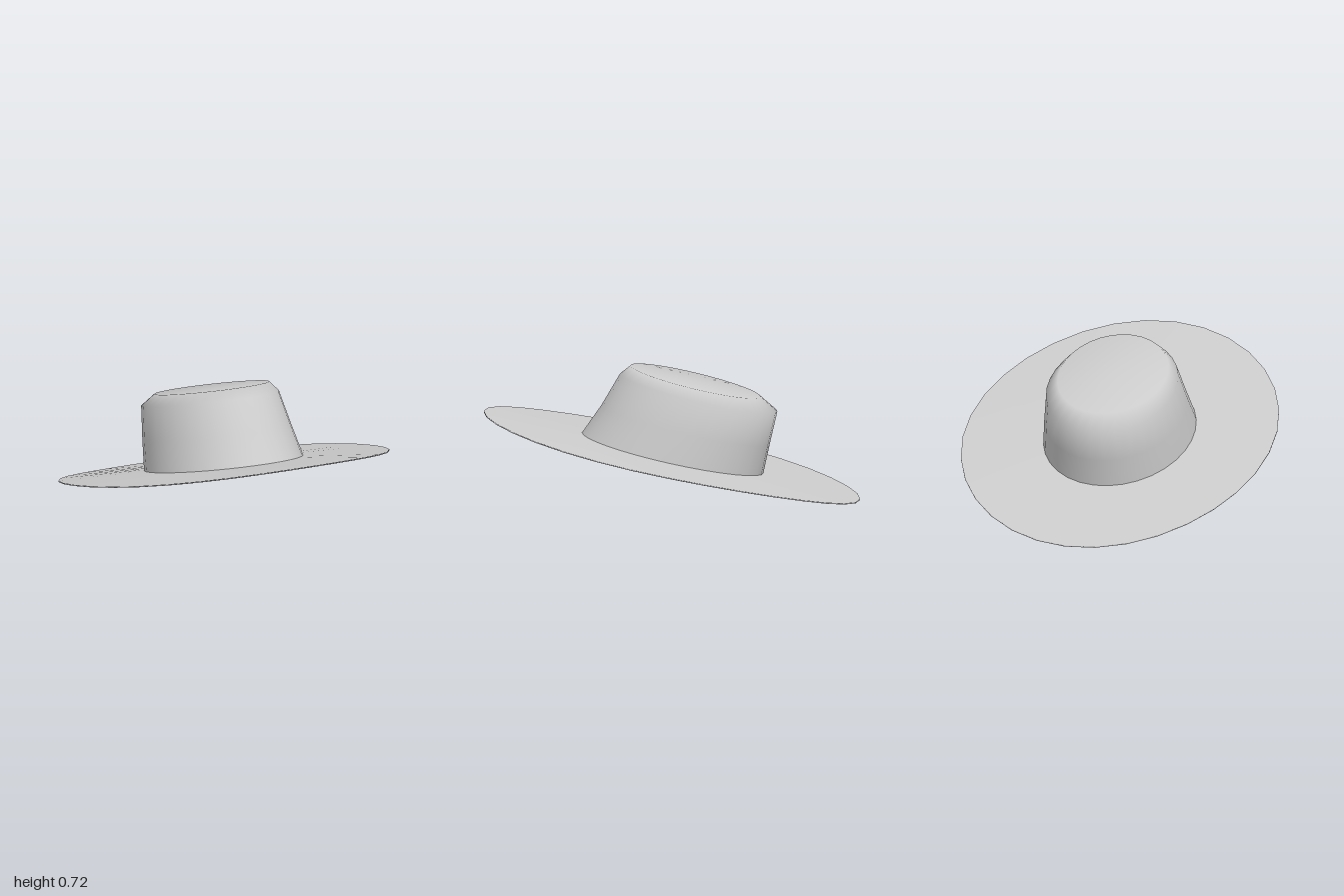
import * as THREE from 'three';

const SEGMENTS = 32;

// Smooth skin over tilted elliptical rings, listed from the bottom up.
// Ring: rx, rz = radii, y, z = centre, tilt = rise per unit of z, wave = gentle ripple.
function loft(name, rings, material) {
  const positions = [];
  const indices = [];
  rings.forEach(({ rx, rz, y, z = 0, tilt = 0, wave = 0 }, j) => {
    for (let i = 0; i < SEGMENTS; i++) {
      const angle = (i / SEGMENTS) * Math.PI * 2;
      const c = Math.cos(angle);
      const s = Math.sin(angle);
      positions.push(rx * c, y + tilt * rz * s - wave * s * c * c, z + rz * s);
      if (j === rings.length - 1) continue;
      const next = (i + 1) % SEGMENTS;
      const a = j * SEGMENTS + i;
      const b = j * SEGMENTS + next;
      // Rings of zero radius close the skin with a fan
      if (rx > 0) indices.push(a, a + SEGMENTS, b);
      if (rings[j + 1].rx > 0) indices.push(b, a + SEGMENTS, b + SEGMENTS);
    }
  });
  const geometry = new THREE.BufferGeometry();
  geometry.setAttribute('position', new THREE.Float32BufferAttribute(positions, 3));
  geometry.setIndex(indices);
  geometry.computeVertexNormals();
  const mesh = new THREE.Mesh(geometry, material);
  mesh.name = name;
  return mesh;
}

export function createModel() {
  const hat = new THREE.Group();
  hat.name = 'hat';
  const material = new THREE.MeshStandardMaterial({ color: 0xcccccc, side: THREE.DoubleSide });

  // Thin oval brim, raised at the front: underside, rim, then upper side
  hat.add(loft('brim', [
    { rx: 0, rz: 0, y: 0.232 },
    { rx: 0.4, rz: 0.48, y: 0.232, tilt: 0.225 },
    { rx: 0.83, rz: 1, y: 0.233, tilt: 0.232, wave: 0.03 },
    { rx: 0.83, rz: 1, y: 0.24, tilt: 0.232, wave: 0.03 },
    { rx: 0.38, rz: 0.46, y: 0.252, tilt: 0.222 },
  ], material));

  // Crown leaning back, with a bevelled shoulder and a flat top
  hat.add(loft('crown', [
    { rx: 0.4, rz: 0.484, y: 0.243, tilt: 0.22 },
    { rx: 0.375, rz: 0.447, y: 0.405, z: -0.073, tilt: 0.23 },
    { rx: 0.345, rz: 0.418, y: 0.575, z: -0.142, tilt: 0.24 },
    { rx: 0.29, rz: 0.345, y: 0.637, z: -0.125, tilt: 0.24 },
    { rx: 0, rz: 0, y: 0.637, z: -0.125 },
  ], material));

  return hat;
}
